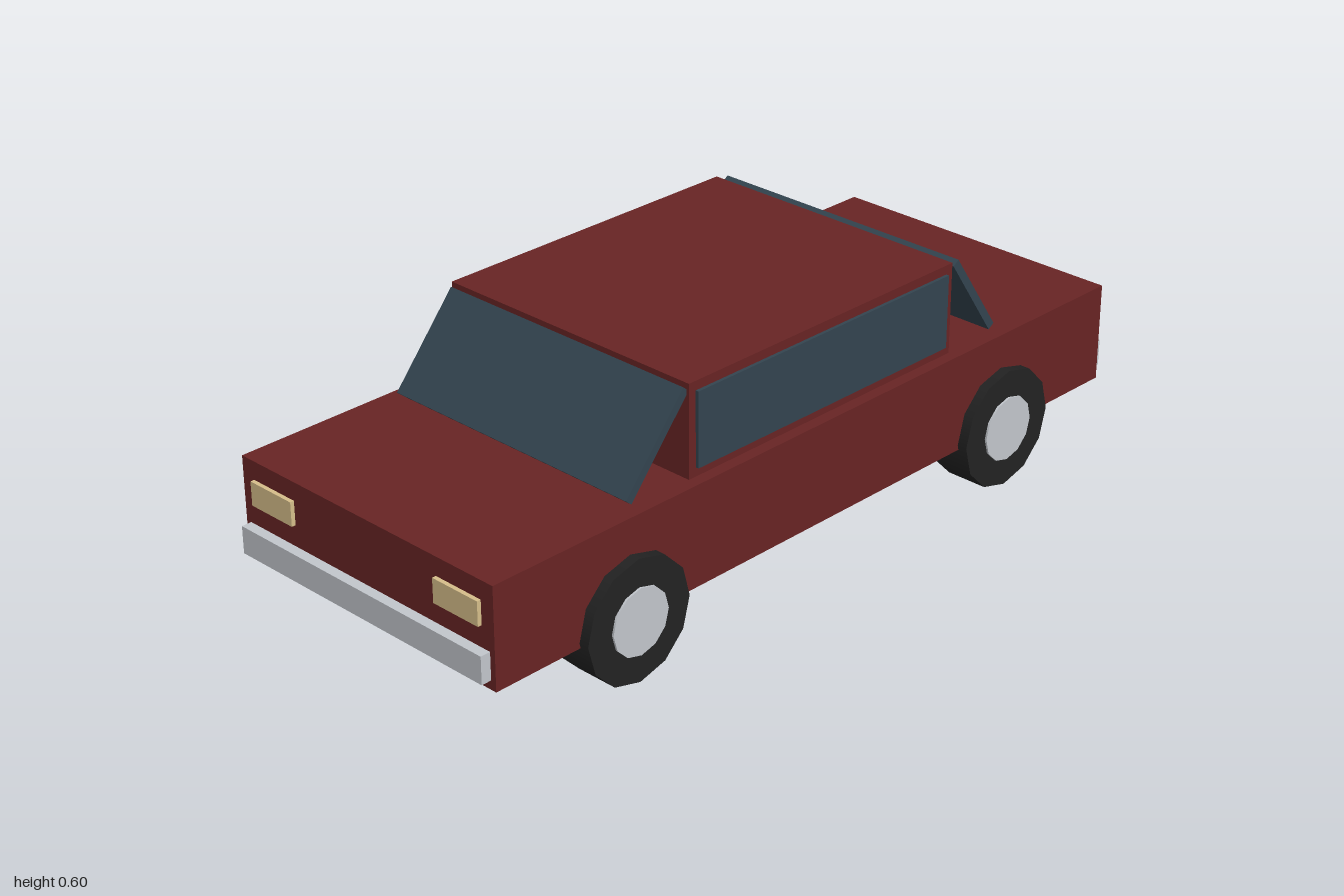
import * as THREE from 'three';

export function createModel() {
  const car = new THREE.Group();
  car.name = 'car';

  const material = (name, color) => {
    const m = new THREE.MeshStandardMaterial({ color });
    m.name = name;
    return m;
  };
  const paint = material('darkRedPaint', 0x682424);
  const glass = material('tintedGlass', 0x33444f);
  const chrome = material('chrome', 0xc2c6cc);
  const rubber = material('rubber', 0x222222);
  const headlightLens = material('headlightLens', 0xd6be8a);
  const tailLightLens = material('tailLightLens', 0xa82426);

  const add = (name, geometry, mat, x, y, z) => {
    const mesh = new THREE.Mesh(geometry, mat);
    mesh.name = name;
    mesh.position.set(x, y, z);
    car.add(mesh);
    return mesh;
  };
  const box = (name, mat, w, h, d, x, y, z) =>
    add(name, new THREE.BoxGeometry(w, h, d), mat, x, y, z);

  // Lower body and cabin
  box('body', paint, 0.78, 0.243, 1.95, 0, 0.2565, 0);
  box('cabin', paint, 0.724, 0.225, 0.84, 0, 0.4875, -0.02);

  // Sloping front and rear glass, standing clear of the cabin
  box('windshield', glass, 0.71, 0.26, 0.02, 0, 0.487, 0.485).rotation.x = -0.7;
  box('rearWindow', glass, 0.71, 0.245, 0.02, 0, 0.489, -0.531).rotation.x = 0.6;

  // Bumpers at both ends
  for (const [end, dir] of [['front', 1], ['rear', -1]]) {
    box(end + 'Bumper', chrome, 0.752, 0.066, 0.03, 0, 0.19, dir * 0.985);
  }

  // Wheel parts lie along x
  const tyreGeometry = new THREE.CylinderGeometry(0.147, 0.147, 0.105, 12).rotateZ(Math.PI / 2);
  const hubGeometry = new THREE.CylinderGeometry(0.08, 0.08, 0.11, 12).rotateZ(Math.PI / 2);

  for (const [side, s] of [['left', 1], ['right', -1]]) {
    box(side + 'SideWindow', glass, 0.016, 0.178, 0.8, s * 0.362, 0.489, -0.02);
    box(side + 'Headlight', headlightLens, 0.132, 0.058, 0.02, s * 0.288, 0.304, 0.975);
    box(side + 'TailLight', tailLightLens, 0.132, 0.058, 0.02, s * 0.288, 0.304, -0.975);

    for (const [end, z] of [['Front', 0.6], ['Rear', -0.6]]) {
      add(side + end + 'Tyre', tyreGeometry, rubber, s * 0.3625, 0.147, z);
      add(side + end + 'Hub', hubGeometry, chrome, s * 0.365, 0.147, z);
    }
  }

  return car;
}
